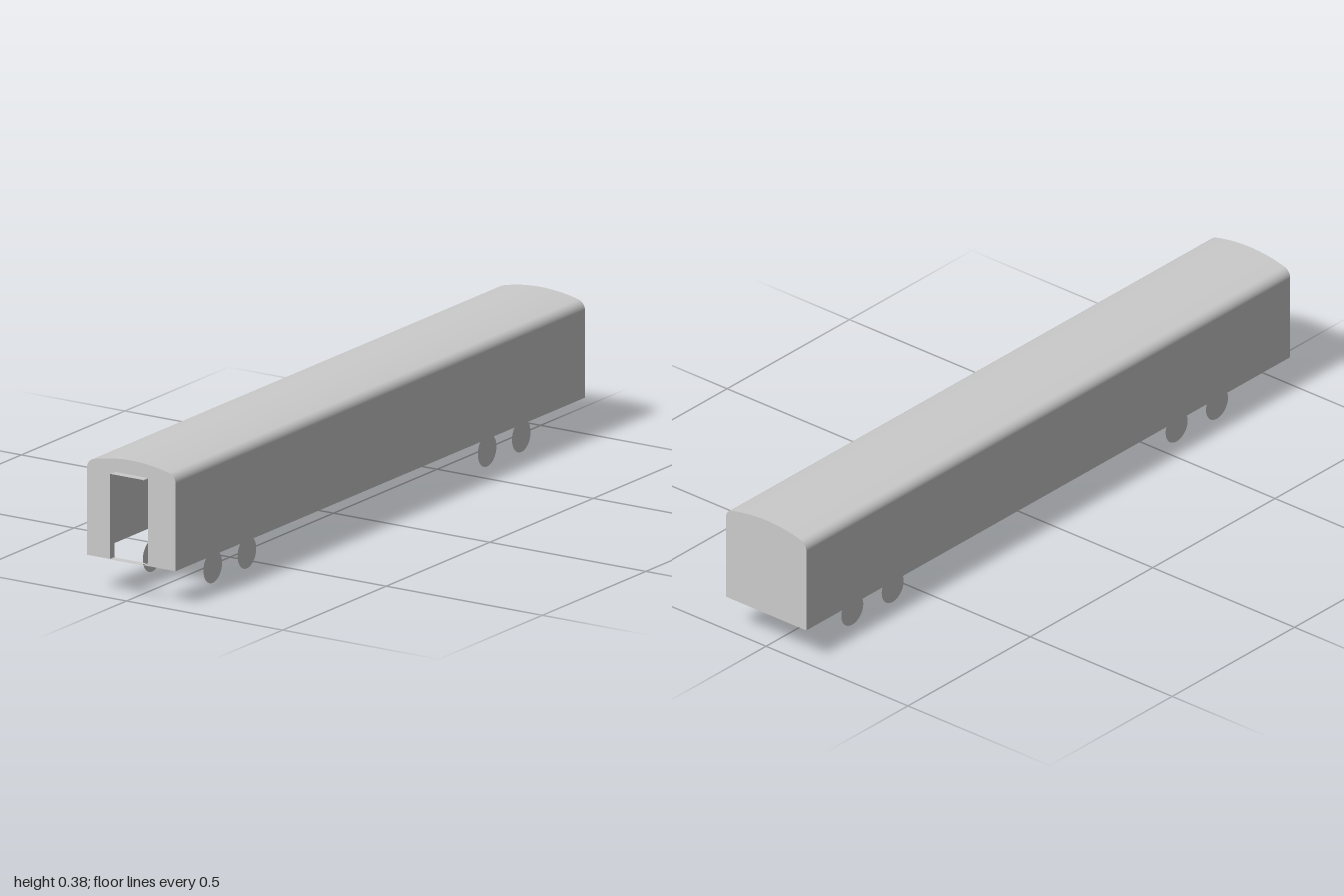
import * as THREE from 'three';

const HALF_W = 0.142, FLOOR_Y = 0.1, TOP_Y = 0.385;
const BACK_Z = -1, WALL_Z = 0.977, FRONT_Z = 1;

// Arched end profile: straight walls, small shoulder arcs, one broad roof arc
function carProfile() {
  const R = 0.486, r = 0.0282;
  const cy = TOP_Y - R;
  const cx = HALF_W - r;
  const a = Math.acos(cx / (R - r));
  const sy = cy + (R - r) * Math.sin(a);
  const s = new THREE.Shape();
  s.moveTo(HALF_W, FLOOR_Y);
  s.lineTo(HALF_W, sy);
  s.absarc(cx, sy, r, 0, a);
  s.absarc(0, cy, R, a, Math.PI - a);
  s.absarc(-cx, sy, r, Math.PI - a, Math.PI);
  s.lineTo(-HALF_W, FLOOR_Y);
  return s;
}

// Doorway outline with slightly rounded corners, counter-clockwise
function doorOutline(Type) {
  const w = 0.053, y0 = 0.107, y1 = 0.345, r = 0.003, q = Math.PI / 2;
  const s = new Type();
  s.moveTo(w, y0 + r);
  s.absarc(w - r, y1 - r, r, 0, q);
  s.absarc(-w + r, y1 - r, r, q, 2 * q);
  s.absarc(-w + r, y0 + r, r, 2 * q, 3 * q);
  s.absarc(w - r, y0 + r, r, 3 * q, 4 * q);
  return s;
}

// Thin skin that sweeps a counter-clockwise outline along z
function skin(points, z0, z1) {
  const pos = [], index = [];
  points.forEach((p, i) => {
    pos.push(p.x, p.y, z0, p.x, p.y, z1);
    if (i < points.length - 1) {
      const k = 2 * i;
      index.push(k, k + 2, k + 1, k + 1, k + 2, k + 3);
    }
  });
  const g = new THREE.BufferGeometry();
  g.setAttribute('position', new THREE.Float32BufferAttribute(pos, 3));
  g.setIndex(index);
  g.computeVertexNormals();
  return g;
}

export function createModel() {
  const group = new THREE.Group();
  const material = new THREE.MeshStandardMaterial({ color: 0xcccccc, side: THREE.DoubleSide });
  const add = (name, geometry, x = 0, y = 0, z = 0) => {
    const mesh = new THREE.Mesh(geometry, material);
    mesh.name = name;
    mesh.position.set(x, y, z);
    group.add(mesh);
    return mesh;
  };

  // Side walls and roof, open underneath
  add('wallsAndRoof', skin(carProfile().getPoints(16), BACK_Z, WALL_Z));

  // Closed back wall
  add('backWall', new THREE.ShapeGeometry(carProfile(), 16).rotateY(Math.PI), 0, 0, BACK_Z);

  // Front wall with the doorway cut out
  const front = carProfile();
  front.holes.push(doorOutline(THREE.Path));
  add('frontWall', new THREE.ShapeGeometry(front, 16), 0, 0, WALL_Z);

  // Thin gangway frame standing out from the doorway
  const frame = skin(doorOutline(THREE.Shape).getPoints(4), WALL_Z, FRONT_Z).toNonIndexed();
  frame.computeVertexNormals();
  add('gangwayFrame', frame);

  // Flat disc wheels, two axles per bogie
  const wheelR = 0.045;
  for (const z of [0.73, 0.565, -0.595, -0.76]) {
    for (const side of [1, -1]) {
      const disc = new THREE.CircleGeometry(wheelR, 32).rotateY(side * Math.PI / 2);
      add(side > 0 ? 'leftWheel' : 'rightWheel', disc, side * 0.097, wheelR, z);
    }
  }
  return group;
}
